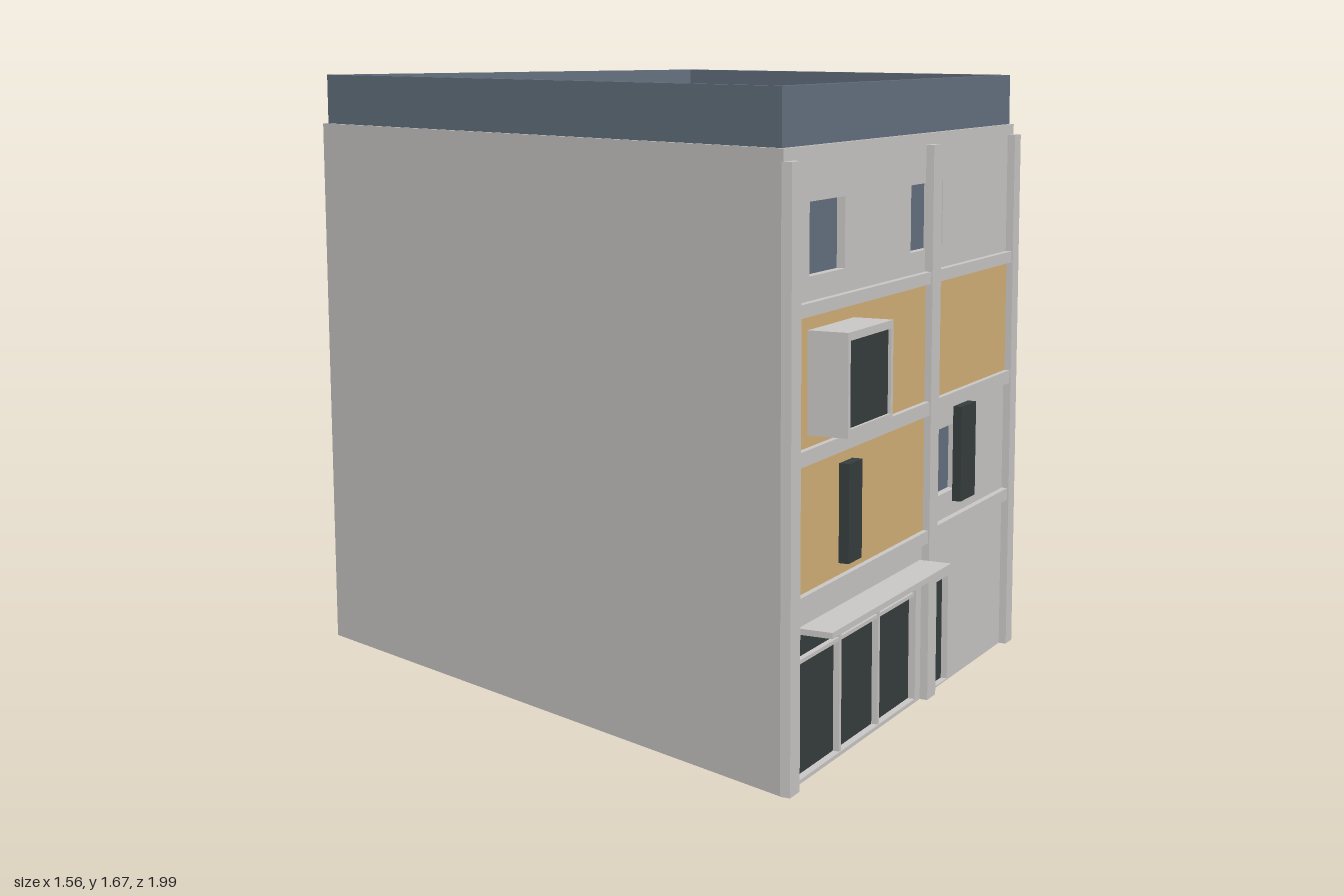
import * as THREE from 'three';

const mat = (name, color, side = THREE.FrontSide) => {
  const m = new THREE.MeshStandardMaterial({ color, side });
  m.name = name;
  return m;
};

// Wall corners on plan [x, z]: front left, front right, back right, back left
const PLAN = [[-0.78, 0.93], [0.667, 0.412], [0.667, -0.968], [-0.748, -1.0]];
const WALL_TOP = 1.53, BAND_TOP = 1.67, THICK = 0.034;

// Moves every side of the plan inward by t
function inset(pts, t) {
  return pts.map((p, i) => {
    const a = pts[(i + 3) % 4], b = pts[(i + 1) % 4];
    const d0 = new THREE.Vector2(p[0] - a[0], p[1] - a[1]).normalize();
    const d1 = new THREE.Vector2(b[0] - p[0], b[1] - p[1]).normalize();
    const k = t / (1 + d0.dot(d1));
    // inward normal of a side (dx, dz) is (dz, -dx)
    return [p[0] + k * (d0.y + d1.y), p[1] - k * (d0.x + d1.x)];
  });
}

const planShape = (pts) => new THREE.Shape(pts.map(([x, z]) => new THREE.Vector2(x, -z)));
const rectPoints = ([u0, u1, y0, y1]) =>
  [[u0, y0], [u1, y0], [u1, y1], [u0, y1]].map(([x, y]) => new THREE.Vector2(x, y));

// Openings and dressings along each street facade, as [u0, u1, y0, y1]
const FACADES = [
  {
    name: 'frontFacade',
    pilasters: [[0, 0.053], [0.866, 0.925], [1.488, 1.537]],
    upper: [[0.143, 0.347, 1.225, 1.4], [0.765, 0.988, 1.225, 1.4]],
    side: [0.95, 1.11, 0.54, 0.725],
    shop: [0.1, 0.83, 0.01, 0.37],
    door: [0.927, 1.067, 0.004, 0.3],
    bay: [0.128, 0.397, 0.85, 1.1],
    slot: [0.314, 0.394, 0.5, 0.75],
    shutter: [1.075, 1.185, 0.51, 0.775],
    canopy: [0.087, 0.855, 0.375, 0.39],
  },
  {
    name: 'sideFacade',
    pilasters: [[0, 0.045], [0.77, 0.82], [1.328, 1.38]],
    upper: [[0.147, 0.347, 1.225, 1.4], [0.687, 0.907, 1.225, 1.4]],
    side: [0.852, 0.99, 0.535, 0.725],
    shop: [0.1, 0.75, 0.01, 0.37],
    door: [0.825, 0.975, 0.004, 0.3],
    bay: [0.126, 0.399, 0.85, 1.1],
    slot: [0.272, 0.357, 0.5, 0.75],
    shutter: [0.962, 1.072, 0.507, 0.775],
    canopy: [0.095, 0.776, 0.375, 0.39],
  },
];
const LEDGES = [[0.435, 0.47], [0.783, 0.82], [1.135, 1.167]];

export function createModel() {
  const render = mat('grey render', 0xc8c6c4);
  const roofGrey = mat('roof grey', 0xc6c4c2, THREE.DoubleSide);
  const ochre = mat('ochre panel', 0xd2b078);
  const slate = mat('slate blue', 0x64717f);
  const dark = mat('dark glass', 0x353d3c);

  const model = new THREE.Group();
  model.name = 'cornerBuilding';
  const add = (parent, name, geometry, material) => {
    const mesh = new THREE.Mesh(geometry, material);
    mesh.name = name;
    parent.add(mesh);
    return mesh;
  };
  // Box over a facade rectangle, from depth z0 to z1 (0 is the wall face)
  const slab = (parent, name, [u0, u1, y0, y1], z0, z1, material) =>
    add(parent, name, new THREE.BoxGeometry(u1 - u0, y1 - y0, z1 - z0), material)
      .position.set((u0 + u1) / 2, (y0 + y1) / 2, (z0 + z1) / 2);

  const inner = inset(PLAN, THICK);
  const names = ['frontFacade', 'sideFacade', 'backWall', 'leftWall'];

  PLAN.forEach((p, i) => {
    const j = (i + 1) % 4, q = PLAN[j];
    const dx = q[0] - p[0], dz = q[1] - p[1], len = Math.hypot(dx, dz);
    const along = (r) => ((r[0] - p[0]) * dx + (r[1] - p[1]) * dz) / len;
    const side = new THREE.Group();
    side.name = names[i];
    side.position.set(p[0], 0, p[1]);
    side.rotation.y = Math.atan2(-dz, dx);
    model.add(side);

    // Wall with openings, mitred at the corners
    const f = FACADES[i];
    const shape = new THREE.Shape(rectPoints([0, len, 0, WALL_TOP]));
    if (f) [...f.upper, f.side, f.shop, f.door].forEach((r) => shape.holes.push(new THREE.Path(rectPoints(r))));
    const wall = new THREE.ExtrudeGeometry(shape, { depth: THICK, bevelEnabled: false });
    wall.translate(0, 0, -THICK);
    const pos = wall.attributes.position;
    for (let k = 0; k < pos.count; k++) {
      if (pos.getZ(k) > -THICK / 2) continue;
      if (pos.getX(k) < 1e-4) pos.setX(k, along(inner[i]));
      else if (pos.getX(k) > len - 1e-4) pos.setX(k, along(inner[j]));
    }
    wall.computeVertexNormals();
    add(side, 'wall', wall, render);
    if (!f) return;

    // Pilasters and floor ledges
    f.pilasters.forEach(([a, b]) => slab(side, 'pilaster', [a, b, 0, 1.5], -0.005, 0.022, render));
    LEDGES.forEach(([a, b]) => slab(side, 'ledge', [0.002, len - 0.002, a, b], -0.005, 0.018, render));

    // Ochre panels between pilasters
    const [pa, pb, pc] = f.pilasters;
    [[pa[1], pb[0], 0.47, 0.783], [pa[1], pb[0], 0.82, 1.135], [pb[1], pc[0], 0.82, 1.135]]
      .forEach((r) => slab(side, 'ochrePanel', r, -0.002, 0.003, ochre));

    // Recessed glazing and door
    [...f.upper, f.side].forEach((r) => slab(side, 'window', r, -0.03, -0.022, slate));
    slab(side, 'door', f.door, -0.03, -0.018, dark);
    slab(side, 'shopGlass', f.shop, -0.03, -0.02, dark);

    // Shopfront bars
    const [s0, s1, y0, y1] = f.shop;
    for (const k of [1, 2]) {
      const u = s0 + ((s1 - s0) * k) / 3;
      slab(side, 'shopMullion', [u - 0.006, u + 0.006, y0, y1], -0.02, -0.003, render);
    }
    slab(side, 'shopTransom', [s0, s1, 0.295, 0.305], -0.02, -0.005, render);
    slab(side, 'canopy', f.canopy, 0, 0.09, render);

    // Projecting bay window
    const [b0, b1, c0, c1] = f.bay;
    const pane = [b0 + 0.013, b1 - 0.013, c0 + 0.02, c1 - 0.02];
    const frame = new THREE.Shape(rectPoints(f.bay));
    frame.holes.push(new THREE.Path(rectPoints(pane)));
    add(side, 'bayFrame', new THREE.ExtrudeGeometry(frame, { depth: 0.108, bevelEnabled: false }), render);
    slab(side, 'bayGlass', pane, 0.09, 0.1, dark);

    // Slot window and sliding shutter
    slab(side, 'slotWindow', f.slot, 0, 0.03, dark);
    slab(side, 'shutter', f.shutter, 0.005, 0.03, dark);
  });

  // Sunken flat roof
  const roof = new THREE.ShapeGeometry(planShape(inset(PLAN, 0.02)));
  roof.rotateX(-Math.PI / 2);
  add(model, 'roof', roof, roofGrey).position.y = 1.42;

  // Slate parapet band
  const band = planShape(inset(PLAN, 0.011));
  band.holes.push(new THREE.Path(planShape(inset(PLAN, THICK)).getPoints()));
  const bandGeo = new THREE.ExtrudeGeometry(band, { depth: BAND_TOP - WALL_TOP, bevelEnabled: false });
  bandGeo.rotateX(-Math.PI / 2);
  add(model, 'parapetBand', bandGeo, slate).position.y = WALL_TOP;

  return model;
}
